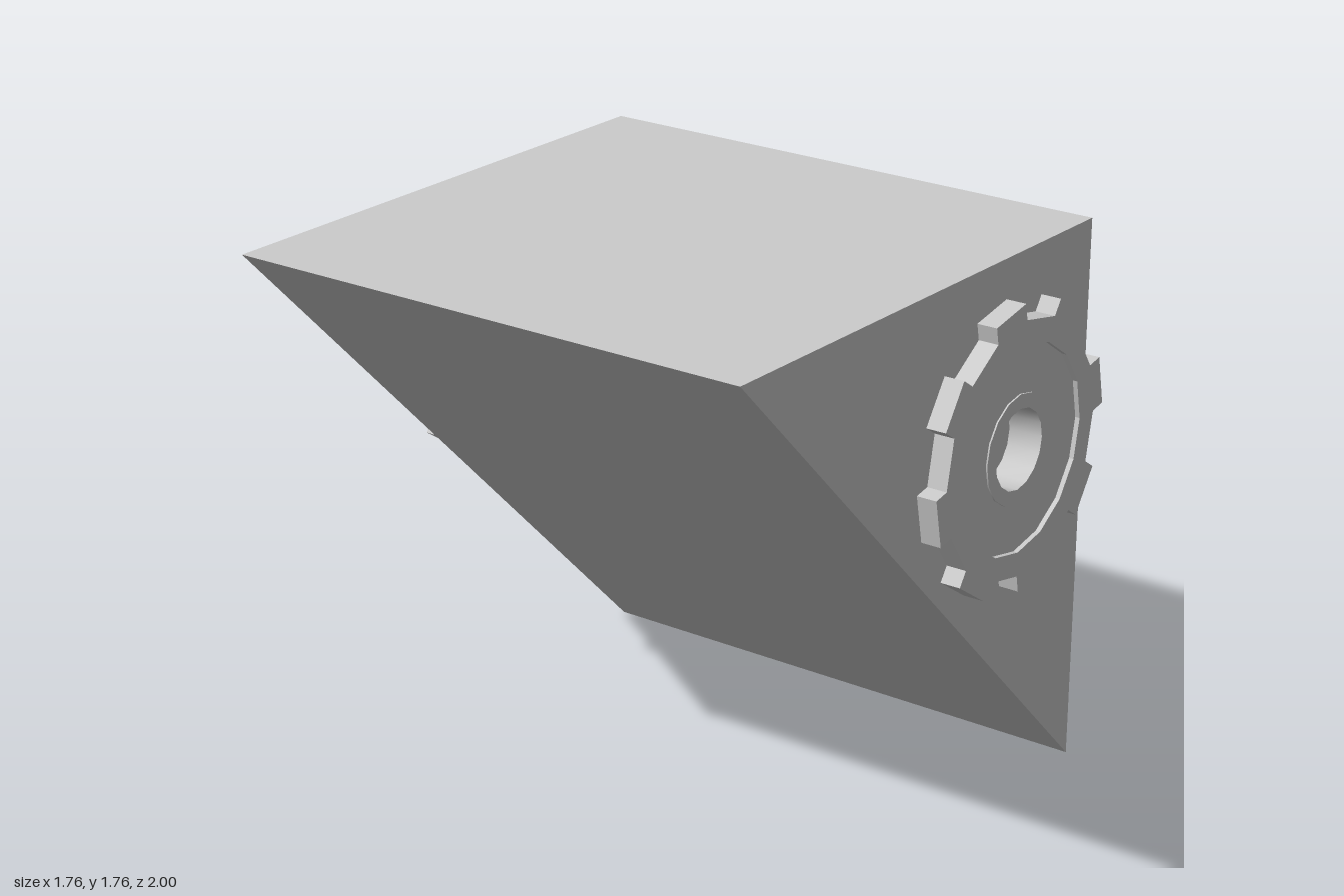
import * as THREE from 'three';
import { toCreasedNormals } from 'three/addons/utils/BufferGeometryUtils.js';

const material = new THREE.MeshStandardMaterial({ color: 0xcccccc });
const HALF = 0.88;

function part(name, geometry) {
  const mesh = new THREE.Mesh(geometry, material);
  mesh.name = name;
  return mesh;
}

function polygon(radius, sides = 16) {
  return Array.from({ length: sides }, (_, i) => {
    const a = (i / sides) * Math.PI * 2;
    return new THREE.Vector2(radius * Math.cos(a), radius * Math.sin(a));
  });
}

// Flat plate with a round hole, between two z levels
function plate(points, holeRadius, z0, z1) {
  const shape = new THREE.Shape(points);
  shape.holes.push(new THREE.Path(polygon(holeRadius)));
  const g = new THREE.ExtrudeGeometry(shape, { depth: z1 - z0, bevelEnabled: false });
  return g.translate(0, 0, z0);
}

// Eight slightly tapered teeth on a sixteen-sided root; flip mirrors in x
function toothOutline(flip) {
  const points = [];
  for (let i = 0; i < 8; i++) {
    for (const [deg, r] of [[0, 0.396], [1.3, 0.448], [21.2, 0.448], [22.5, 0.396]]) {
      const a = THREE.MathUtils.degToRad(i * 45 + deg);
      points.push(new THREE.Vector2(flip * r * Math.cos(a), r * Math.sin(a)));
    }
  }
  return points;
}

function createGear(name, side) {
  const gear = new THREE.Group();
  gear.name = name;
  gear.add(part('toothedRim', plate(toothOutline(side), 0.32, 0.935, 1)));
  gear.add(part('recessedDisc', plate(polygon(0.32), 0.15, 0.935, 0.985)));

  // Hollow hub reaching back to the body
  const section = [[0.125, HALF], [0.17, HALF], [0.17, 0.99], [0.125, 0.99], [0.125, HALF]];
  const hub = new THREE.LatheGeometry(section.map(([r, z]) => new THREE.Vector2(r, z)), 16);
  hub.rotateX(Math.PI / 2);
  gear.add(part('hub', toCreasedNormals(hub, Math.PI / 5)));

  gear.position.set(0.335, 1.225, 0);
  if (side < 0) gear.rotation.y = Math.PI;
  return gear;
}

export function createModel() {
  const model = new THREE.Group();
  model.name = 'wedgeBlock';

  // Triangular body, half of a cube
  const triangle = new THREE.Shape([
    new THREE.Vector2(-HALF, 2 * HALF),
    new THREE.Vector2(HALF, 0),
    new THREE.Vector2(HALF, 2 * HALF),
  ]);
  const body = new THREE.ExtrudeGeometry(triangle, { depth: 2 * HALF, bevelEnabled: false });
  model.add(part('wedgeBody', body.translate(0, 0, -HALF)));

  // One gear on each triangular face
  model.add(createGear('frontGear', 1), createGear('backGear', -1));
  return model;
}
